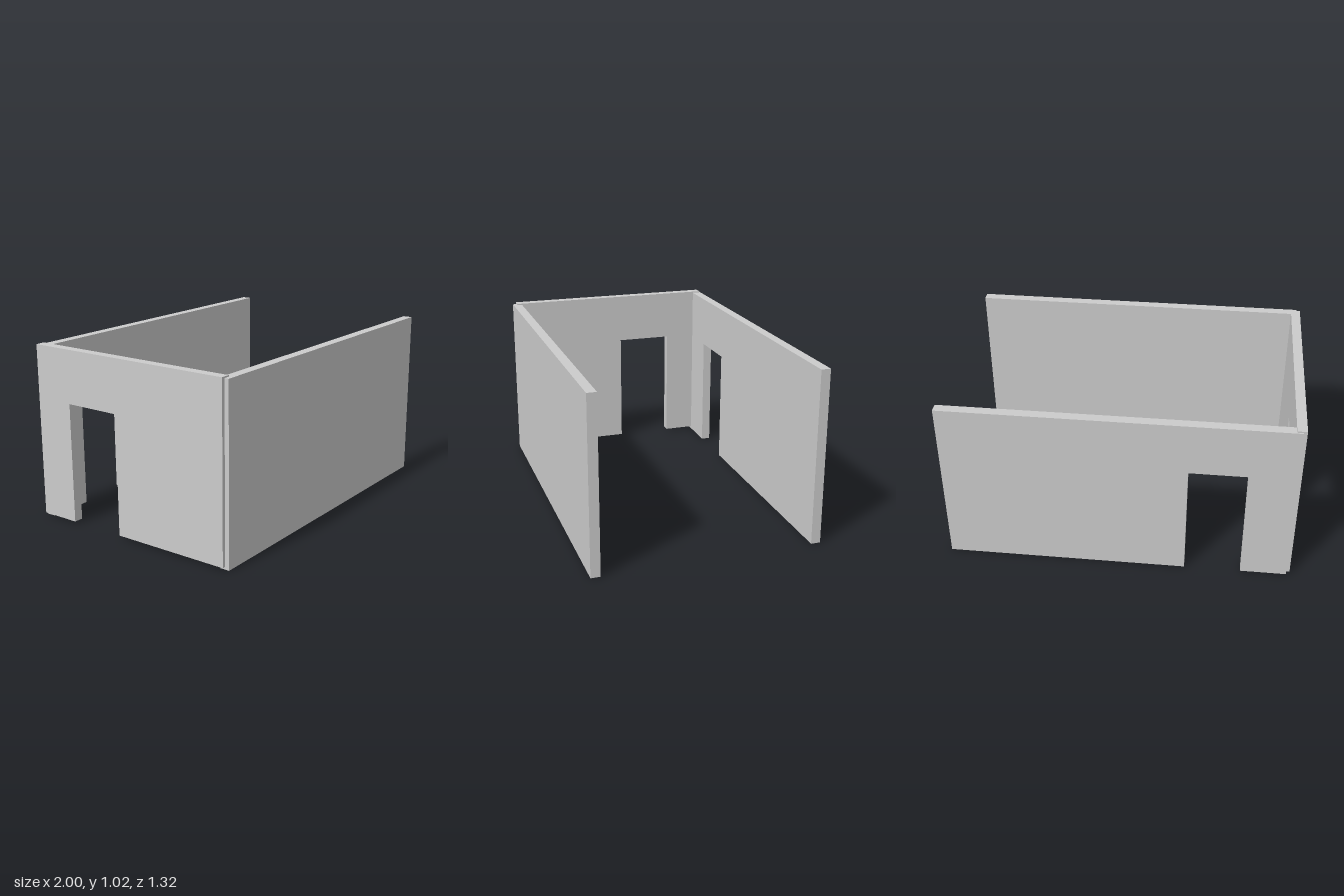
import * as THREE from 'three';

const THICKNESS = 0.055;
const material = new THREE.MeshStandardMaterial({ color: 0xcccccc, flatShading: true });

// Upright wall from u0 to u1 and y0 to y1, extruded along +z; an optional doorway is open at the bottom
function makeWall(name, u0, u1, y0, y1, door) {
  const points = [[u0, y0]];
  if (door) {
    points.push([door.from, y0], [door.from, door.top], [door.to, door.top], [door.to, y0]);
  }
  points.push([u1, y0], [u1, y1], [u0, y1]);
  const shape = new THREE.Shape(points.map(([u, y]) => new THREE.Vector2(u, y)));
  const geometry = new THREE.ExtrudeGeometry(shape, { depth: THICKNESS, bevelEnabled: false });
  const wall = new THREE.Mesh(geometry, material);
  wall.name = name;
  return wall;
}

export function createModel() {
  const model = new THREE.Group();
  model.name = 'roomWalls';

  // Plain long wall at the front
  const frontWall = makeWall('frontWall', -0.98, 1, 0, 1.012);
  frontWall.position.z = 0.605;

  // Long wall at the back, with a doorway near the closed end
  const backWall = makeWall('backWall', -0.98, 1, 0, 1.012, { from: -0.715, to: -0.388, top: 0.7 });
  backWall.position.z = -0.66;

  // Short end wall, slightly raised; turned so that its width runs along -z
  const endWall = makeWall('endWall', -0.635, 0.652, 0.015, 1.02, { from: 0.075, to: 0.415, top: 0.712 });
  endWall.rotation.y = Math.PI / 2;
  endWall.position.x = -1;

  model.add(frontWall, backWall, endWall);
  return model;
}
